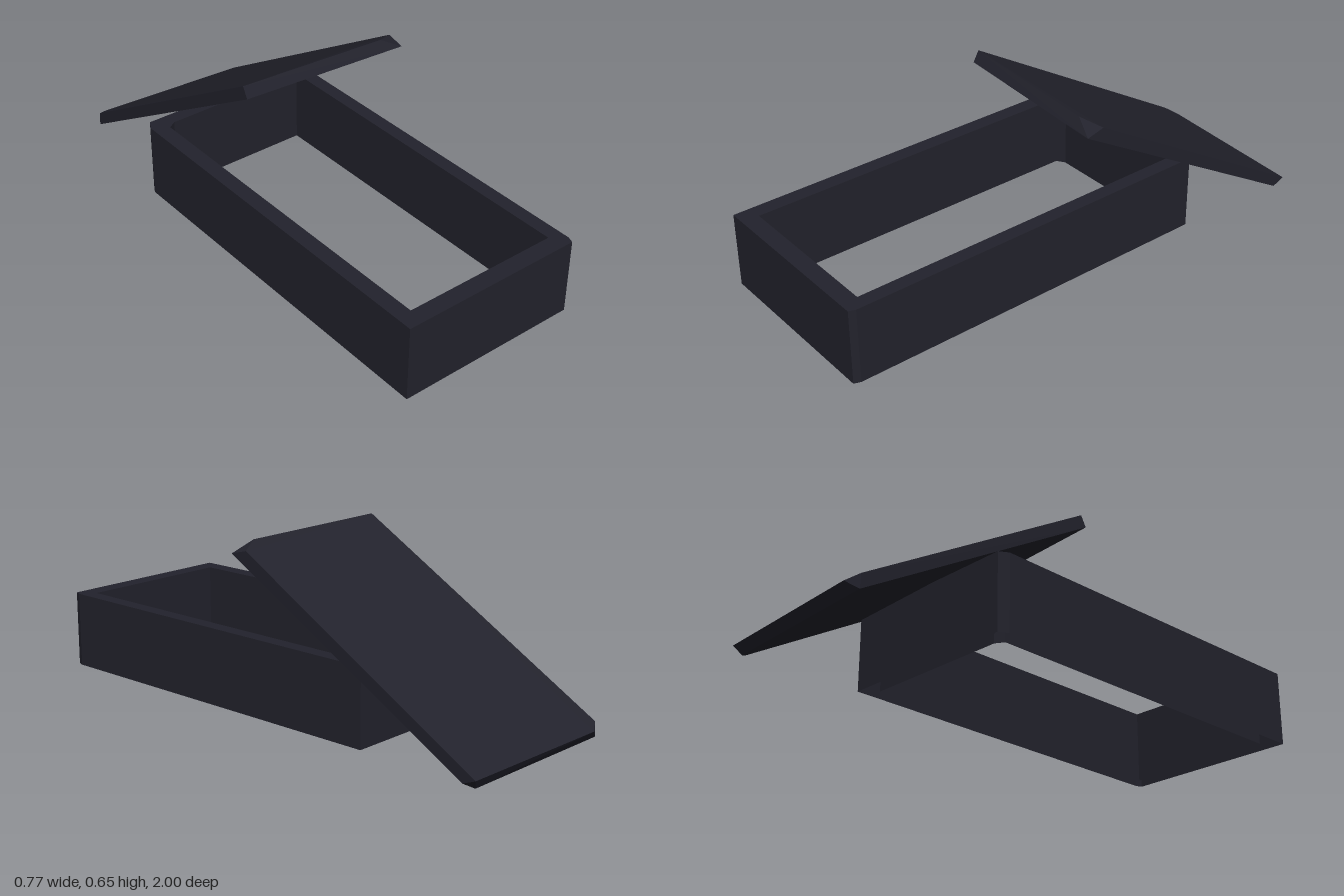
import * as THREE from 'three';
import { ConvexGeometry } from 'three/addons/geometries/ConvexGeometry.js';

const BOTTOM = 0.01, TOP = 0.297;

// Outlines as [x, z], running front left, front right, back right, back left
const OUTER = [[-0.385, 1], [0.325, 1], [0.334, 0.975], [0.334, -0.475], [-0.365, -0.475], [-0.385, -0.44]];
const INNER = [[-0.325, 0.935], [0.28, 0.935], [0.28, -0.42], [-0.293, -0.42], [-0.325, -0.4]];

// Upright walls following a closed outline
function wallGeometry(outline) {
  const pos = [];
  outline.forEach(([ax, az], i) => {
    const [bx, bz] = outline[(i + 1) % outline.length];
    pos.push(ax, BOTTOM, az, bx, BOTTOM, bz, bx, TOP, bz);
    pos.push(ax, BOTTOM, az, bx, TOP, bz, ax, TOP, az);
  });
  const g = new THREE.BufferGeometry();
  g.setAttribute('position', new THREE.Float32BufferAttribute(pos, 3));
  g.computeVertexNormals();
  return g;
}

// Flat ring joining the outer and inner walls
function rimGeometry() {
  const toPoints = (outline) => outline.map(([x, z]) => new THREE.Vector2(x, -z));
  const shape = new THREE.Shape(toPoints(OUTER));
  shape.holes.push(new THREE.Path(toPoints(INNER)));
  return new THREE.ShapeGeometry(shape).rotateX(-Math.PI / 2).translate(0, TOP, 0);
}

// Leaning slab with a few cut corners
function lidGeometry() {
  const underside = [
    [-0.283, 0.611, 0.035], [0.383, 0.6, 0.068],
    [0.368, 0.02, -0.92], [0.34, 0.003, -0.95], [-0.298, 0.012, -0.975],
  ];
  const upperSide = [
    [-0.283, 0.652, 0.012], [0.305, 0.641, 0.04], [0.383, 0.618, 0],
    [0.368, 0.04, -0.97], [-0.25, 0.048, -1], [-0.298, 0.066, -0.972],
  ];
  return new ConvexGeometry([...underside, ...upperSide].map((p) => new THREE.Vector3(...p)));
}

export function createModel() {
  const model = new THREE.Group();
  const charcoal = new THREE.MeshStandardMaterial({ color: 0x22222c, side: THREE.DoubleSide });
  charcoal.name = 'charcoal';

  const add = (name, geometry, parent) => {
    const mesh = new THREE.Mesh(geometry, charcoal);
    mesh.name = name;
    parent.add(mesh);
  };

  // Double-walled tray, open at the bottom
  const tray = new THREE.Group();
  tray.name = 'tray';
  add('outerWalls', wallGeometry(OUTER), tray);
  add('innerWalls', wallGeometry([...INNER].reverse()), tray);
  add('rim', rimGeometry(), tray);
  model.add(tray);

  // Lid resting on the back edge of the tray
  add('lid', lidGeometry(), model);
  return model;
}
